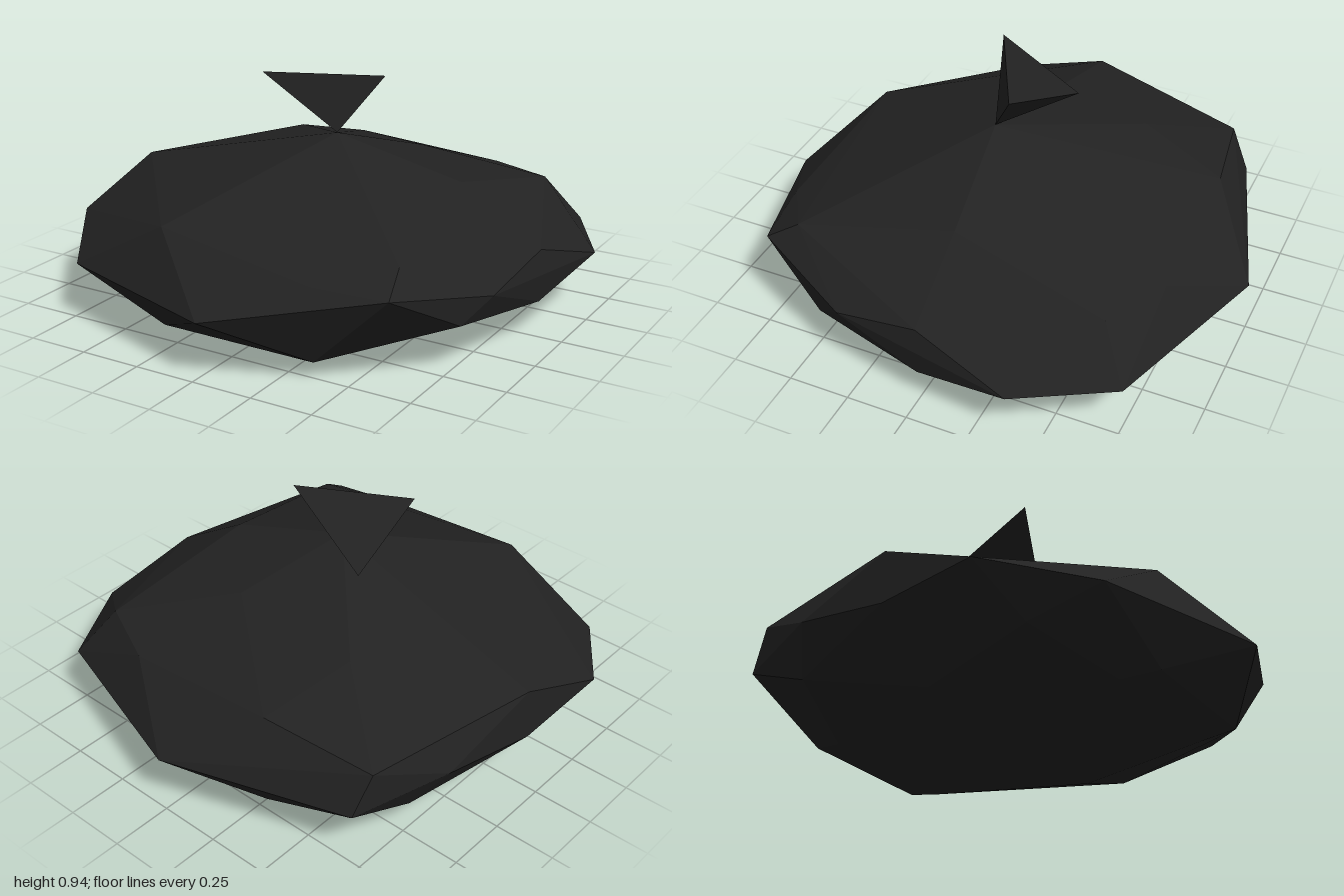
import * as THREE from 'three';
import { ConvexGeometry } from 'three/addons/geometries/ConvexGeometry.js';

const stone = new THREE.MeshStandardMaterial({ color: 0x222222, flatShading: true });
stone.name = 'dark stone';

// Faceted solid spanned by its corner points
function facetedRock(name, corners) {
  const points = corners.map(([x, y, z]) => new THREE.Vector3(x, y, z));
  const mesh = new THREE.Mesh(new ConvexGeometry(points), stone);
  mesh.name = name;
  return mesh;
}

export function createModel() {
  const group = new THREE.Group();
  group.name = 'rock';

  // Upper facets: peak, shoulder ring, outer slope
  const crown = [
    [0.05, 0.71, 0.07],
    [0.56, 0.57, 0], [0.22, 0.57, 0.37], [-0.38, 0.575, 0.12],
    [-0.4, 0.565, -0.4], [0.2, 0.575, -0.36],
    [0.64, 0.45, 0.64], [0.64, 0.43, -0.64], [0.9, 0.36, 0],
    [-0.3, 0.465, 0.76], [0.38, 0.38, 0.81], [-0.3, 0.465, -0.76],
    [0.36, 0.42, -0.77], [-0.93, 0.46, 0], [-0.75, 0.4, -0.68],
  ];

  // Widest outline
  const rim = [
    [0.02, 0.235, 1], [0.67, 0.37, 0.77], [0.87, 0.29, 0.35],
    [0.97, 0.235, -0.39], [0.76, 0.235, -0.76], [0.02, 0.235, -1],
    [-0.72, 0.235, -0.76], [-0.88, 0.3, -0.4], [-0.94, 0.25, 0],
    [-0.975, 0.31, 0.39], [-0.72, 0.235, 0.76],
  ];

  // Shallow underside, mirrored front to back
  const base = [[0.02, 0.004, 0], [0.56, 0.045, 0], [-0.64, 0.045, 0], [0.9, 0.15, 0], [0.8, 0.2, 0.47]];
  for (const s of [1, -1]) {
    base.push([0.36, 0.07, 0.76 * s], [-0.3, 0.07, 0.76 * s]);
    base.push([0.35, 0.045, 0.62 * s], [-0.35, 0.045, 0.62 * s], [-0.76, 0.135, 0.48 * s]);
  }
  group.add(facetedRock('boulder', [...crown, ...rim, ...base]));

  // Shard balanced on the peak
  group.add(facetedRock('topShard', [
    [-0.235, 0.94, 0.165], [0.195, 0.93, -0.055], [0.05, 0.71, 0.07], [-0.235, 0.75, -0.165],
  ]));
  return group;
}
